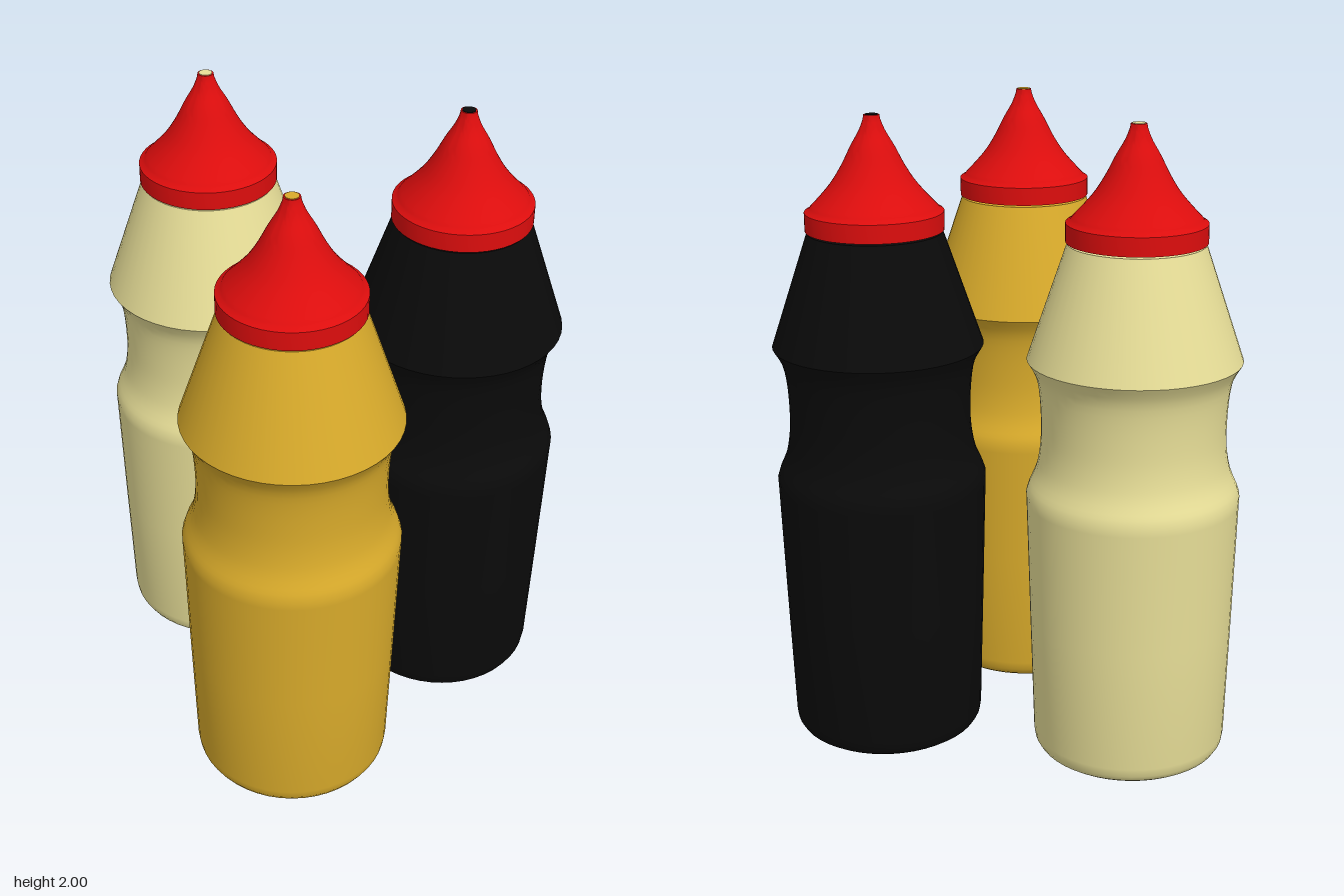
import * as THREE from 'three';
import { toCreasedNormals } from 'three/addons/utils/BufferGeometryUtils.js';

const SEGMENTS = 48;

// Revolve [radius, height] pairs, listed from bottom to top
function lathe(profile) {
  const points = profile.map(([r, y]) => new THREE.Vector2(r, y));
  return toCreasedNormals(new THREE.LatheGeometry(points, SEGMENTS), 0.6);
}

// Smooth run of profile points through a few control points
function smooth(controls, count) {
  const curve = new THREE.SplineCurve(controls.map(([r, y]) => new THREE.Vector2(r, y)));
  return curve.getPoints(count).map((p) => [p.x, p.y]);
}

export function createModel() {
  const model = new THREE.Group();
  model.name = 'squeezeBottles';

  // Bottle: rounded foot, tapered body, pinched grip, conical shoulder
  const bottleGeometry = lathe([
    [0, 0], [0.25, 0], [0.272, 0.004], [0.29, 0.016], [0.301, 0.034], [0.305, 0.06],
    [0.317, 0.45], [0.328, 0.84], [0.329, 0.865],
    ...smooth([[0.321, 0.89], [0.298, 0.945], [0.286, 1.01], [0.283, 1.08],
      [0.287, 1.17], [0.299, 1.24], [0.327, 1.292]], 18),
    [0.207, 1.645], [0, 1.645],
  ]);

  // Cap: short collar, small ledge, concave cone and nozzle
  const capGeometry = lathe([
    [0, 1.651], [0.212, 1.651], [0.212, 1.708], [0.198, 1.716],
    ...smooth([[0.194, 1.722], [0.158, 1.76], [0.125, 1.8], [0.094, 1.85],
      [0.066, 1.905], [0.04, 1.95], [0.026, 1.985]], 20),
    [0.024, 1.998], [0, 1.998],
  ]);

  // Sauce showing in the nozzle opening
  const tipGeometry = new THREE.CylinderGeometry(0.02, 0.02, 0.01, 24);

  const capMaterial = new THREE.MeshStandardMaterial({ color: 0xdd0d0d });
  const bottles = [
    ['mustardBottle', 0xd9ab2b, -0.36, 0.36],
    ['blackBottle', 0x0a0a0a, 0.36, 0.36],
    ['creamBottle', 0xe8df98, 0, -0.36],
  ];

  for (const [name, color, x, z] of bottles) {
    const bottle = new THREE.Group();
    bottle.name = name;
    bottle.position.set(x, 0, z);
    const material = new THREE.MeshStandardMaterial({ color });
    const body = new THREE.Mesh(bottleGeometry, material);
    body.name = 'body';
    const cap = new THREE.Mesh(capGeometry, capMaterial);
    cap.name = 'cap';
    const tip = new THREE.Mesh(tipGeometry, material);
    tip.name = 'nozzleOpening';
    tip.position.y = 1.995;
    bottle.add(body, cap, tip);
    model.add(bottle);
  }
  return model;
}
